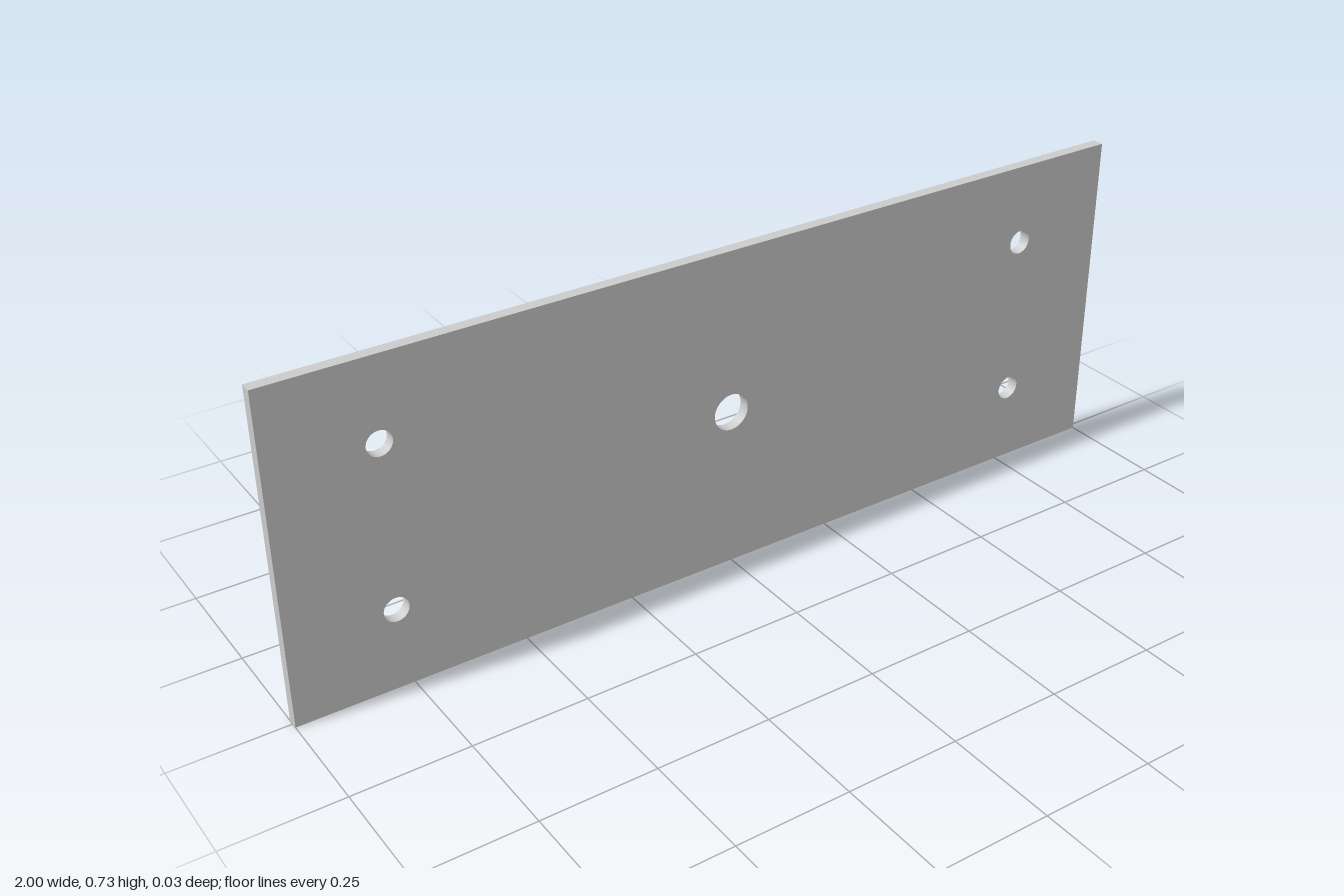
import * as THREE from 'three';

const WIDTH = 2, HEIGHT = 0.727, THICKNESS = 0.026;

// Round hole path for the plate outline
function hole(x, y, radius) {
  return new THREE.Path().absarc(x, y, radius, 0, Math.PI * 2, true);
}

export function createModel() {
  const group = new THREE.Group();
  group.name = 'mountingPlate';

  // Rectangular outline standing on y = 0
  const outline = new THREE.Shape();
  outline.moveTo(-WIDTH / 2, 0);
  outline.lineTo(WIDTH / 2, 0);
  outline.lineTo(WIDTH / 2, HEIGHT);
  outline.lineTo(-WIDTH / 2, HEIGHT);
  outline.closePath();

  // Central hole and four screw holes near the corners
  outline.holes.push(hole(0, HEIGHT / 2, 0.041));
  for (const sx of [-1, 1]) {
    for (const sy of [-1, 1]) {
      outline.holes.push(hole(sx * 0.773, HEIGHT / 2 + sy * 0.183, 0.027));
    }
  }

  // Flat plate, centred in depth
  const geometry = new THREE.ExtrudeGeometry(outline, {
    depth: THICKNESS, bevelEnabled: false, curveSegments: 32,
  });
  geometry.translate(0, 0, -THICKNESS / 2);

  const plate = new THREE.Mesh(geometry, new THREE.MeshStandardMaterial({ color: 0xcccccc }));
  plate.name = 'plate';
  group.add(plate);
  return group;
}
